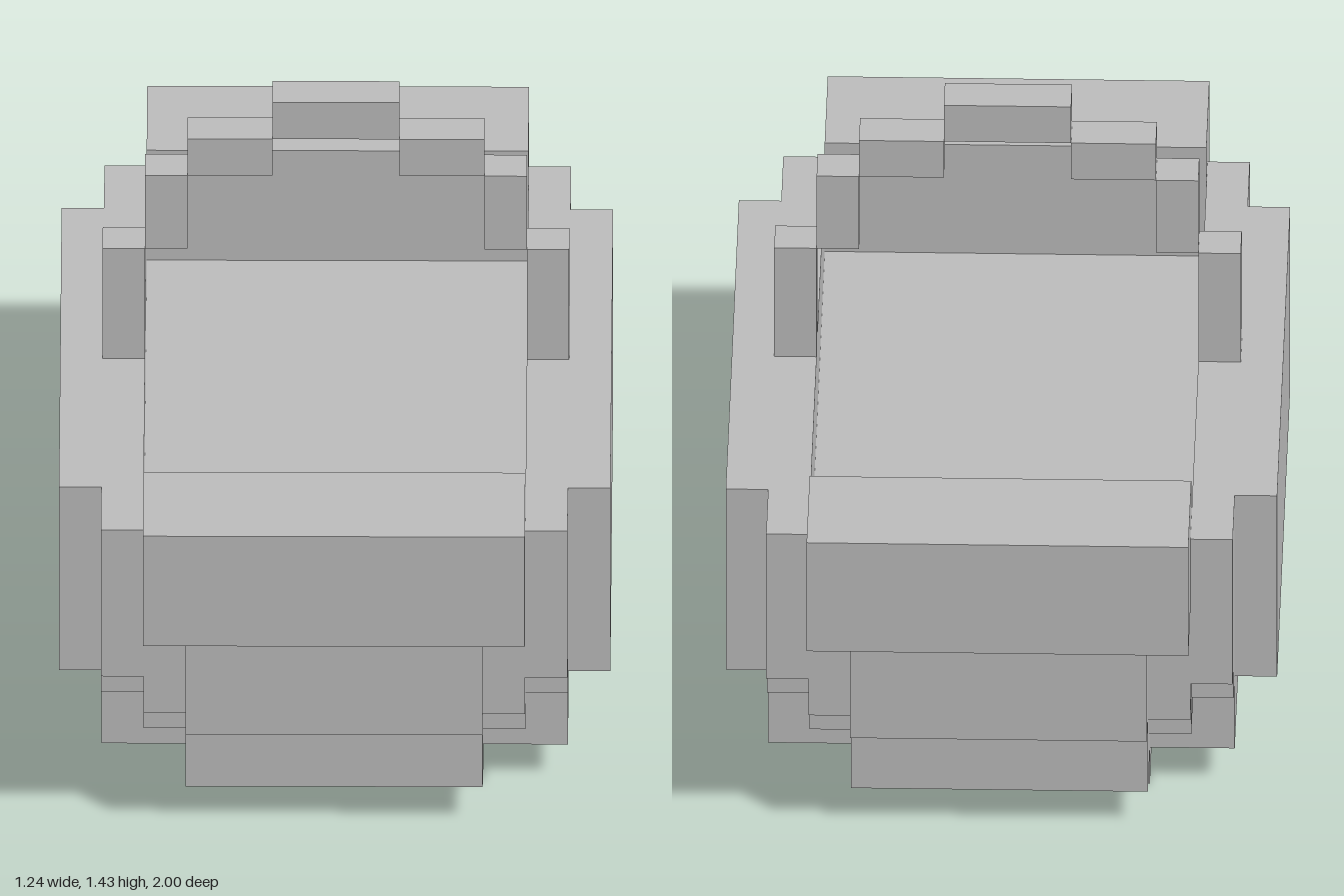
import * as THREE from 'three';

// One block edge: the whole basket is 21 blocks long.
const U = 2 / 21;

export function createModel() {
  const model = new THREE.Group();
  model.name = 'basket';
  const grey = new THREE.MeshStandardMaterial({ color: 0xbfbfbf });
  grey.name = 'plain grey';

  // Box between two corners, given in blocks.
  function block(name, x0, x1, y0, y1, z0, z1, parent = model) {
    const geometry = new THREE.BoxGeometry((x1 - x0) * U, (y1 - y0) * U, (z1 - z0) * U);
    const mesh = new THREE.Mesh(geometry, grey);
    mesh.position.set((x0 + x1) / 2 * U, (y0 + y1) / 2 * U, (z0 + z1) / 2 * U);
    mesh.name = name;
    parent.add(mesh);
  }
  // Same box, mirrored to the chosen side in x and z.
  function mirrored(name, sx, sz, x0, x1, y0, y1, z0, z1, parent) {
    const [xa, xb] = sx > 0 ? [x0, x1] : [-x1, -x0];
    const [za, zb] = sz > 0 ? [z0, z1] : [-z1, -z0];
    block(name, xa, xb, y0, y1, za, zb, parent);
  }

  // Foot, lower hull and floor
  block('foot', -3.5, 3.5, 0, 1, -6.5, 6.5);
  block('lowerHull', -5.5, 5.5, 1, 3, -6.5, 6.5);
  block('floor', -4.5, 4.5, 3, 6, -7.5, 7.5);

  // Stepped ends with raised, overhanging rims
  for (const s of [1, -1]) {
    const end = s > 0 ? 'front' : 'back';
    mirrored(end + 'LowerStep', 1, s, -3.5, 3.5, 1, 3, 6.5, 8.5);
    mirrored(end + 'Panel', 1, s, -3.5, 3.5, 3, 6, 7.5, 9.5);
    mirrored(end + 'Rim', 1, s, -4.5, 4.5, 6, 9, 7.5, 10.5);
  }

  // Long side walls
  for (const s of [1, -1]) {
    mirrored(s > 0 ? 'leftWall' : 'rightWall', s, 1, 4.5, 6.5, 3, 8, -6.5, 6.5);
  }

  // Stepped corners
  for (const sx of [1, -1]) for (const sz of [1, -1]) {
    const corner = new THREE.Group();
    corner.name = (sz > 0 ? 'front' : 'back') + (sx > 0 ? 'Left' : 'Right') + 'Corner';
    mirrored('outerPost', sx, sz, 4.5, 5.5, 4, 8, 7.5, 8.5, corner);
    mirrored('sidePost', sx, sz, 4.5, 5.5, 3, 8, 6.5, 7.5, corner);
    mirrored('endPost', sx, sz, 3.5, 4.5, 3, 6, 7.5, 8.5, corner);
    mirrored('innerStep', sx, sz, 3.5, 4.5, 2, 3, 6.5, 7.5, corner);
    model.add(corner);
  }

  // Arched handle made of steps
  const handle = new THREE.Group();
  handle.name = 'handle';
  for (const s of [1, -1]) {
    mirrored('handlePost', s, 1, 4.5, 5.5, 8, 11, -0.5, 0.5, handle);
    mirrored('handleStep', s, 1, 3.5, 4.5, 11, 13, -0.5, 0.5, handle);
    mirrored('handleShoulder', s, 1, 1.5, 3.5, 13, 14, -0.5, 0.5, handle);
  }
  block('handleTop', -1.5, 1.5, 14, 15, -0.5, 0.5, handle);
  model.add(handle);

  return model;
}
